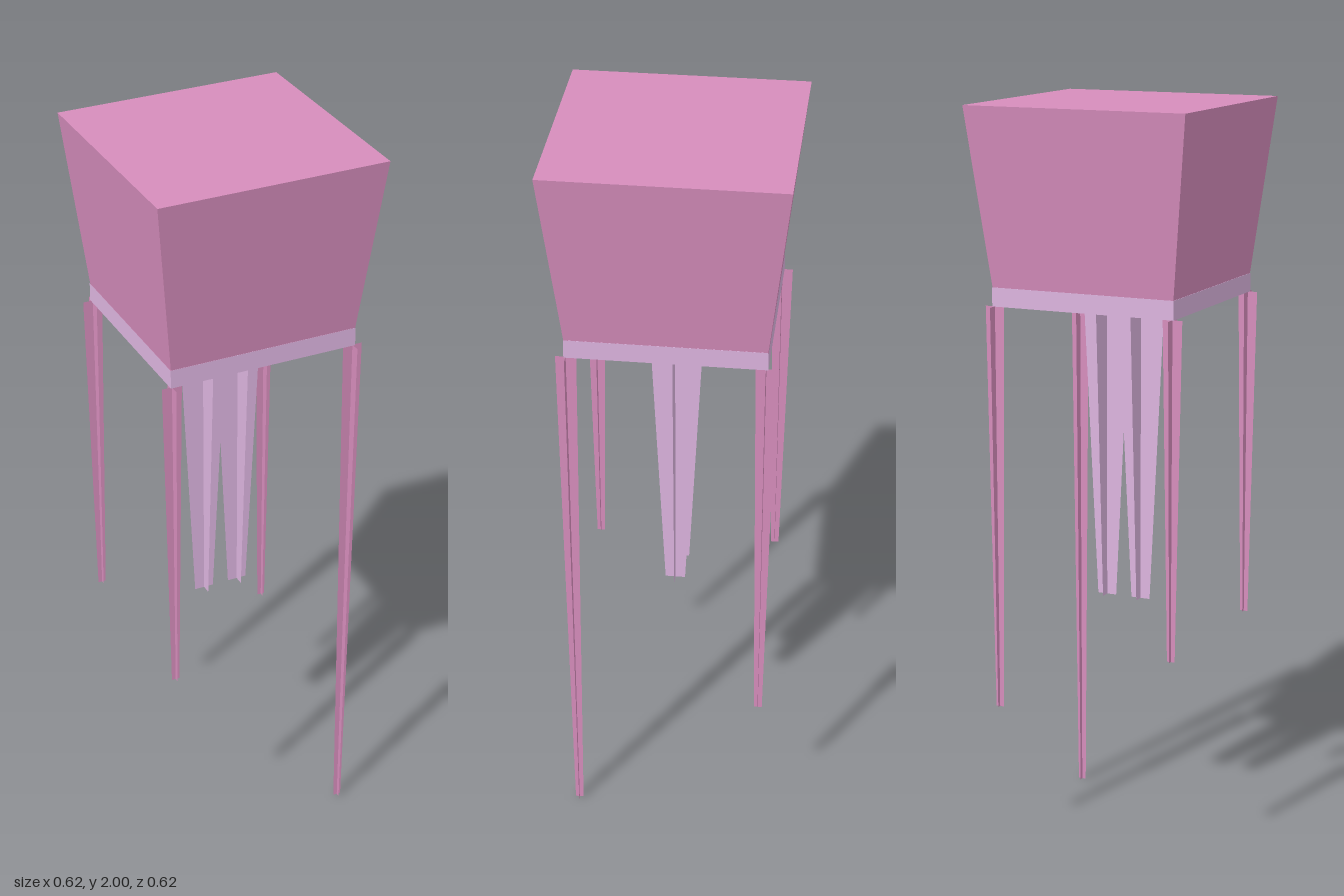
import * as THREE from 'three';

const pink = new THREE.MeshStandardMaterial({ color: 0xd68dbc, flatShading: true });
const lilac = new THREE.MeshStandardMaterial({ color: 0xdcb4df, flatShading: true });
const pinkThin = pink.clone();
const lilacThin = lilac.clone();
pinkThin.side = lilacThin.side = THREE.DoubleSide;

// Square section running from y0 (half width h0) up to y1 (half width h1)
function squareTube(h0, y0, h1, y1, open) {
  const r = Math.SQRT2;
  return new THREE.CylinderGeometry(h1 * r, h0 * r, y1 - y0, 4, 1, open)
    .rotateY(Math.PI / 4)
    .translate(0, (y0 + y1) / 2, 0);
}

// Tapered strand made of two crossed flat blades
function strand(name, x, z, bottom, halfTop, halfBottom, material) {
  const top = 1.48;
  const shape = new THREE.Shape([
    new THREE.Vector2(-halfBottom, bottom),
    new THREE.Vector2(halfBottom, bottom),
    new THREE.Vector2(halfTop, top),
    new THREE.Vector2(-halfTop, top),
  ]);
  const group = new THREE.Group();
  group.name = name;
  for (const turn of [0, Math.PI / 2]) {
    const blade = new THREE.Mesh(new THREE.ShapeGeometry(shape), material);
    blade.name = 'blade';
    blade.rotation.y = turn;
    group.add(blade);
  }
  group.position.set(x, 0, z);
  return group;
}

export function createModel() {
  const model = new THREE.Group();
  model.name = 'floatingCreature';
  const add = (name, geometry, material) => {
    const mesh = new THREE.Mesh(geometry, material);
    mesh.name = name;
    model.add(mesh);
  };

  // Flared bell with a flat top and underside
  add('bell', squareTube(0.256, 1.53, 0.308, 2, false), pink);

  // Rim band below the bell, with its inner wall and a thin lip under the bell
  add('rimBand', squareTube(0.257, 1.48, 0.257, 1.53, true), lilac);
  add('rimInnerWall', squareTube(0.255, 1.48, 0.255, 1.529, true), pinkThin);
  const lip = new THREE.RingGeometry(0.235 * Math.SQRT2, 0.255 * Math.SQRT2, 4, 1, Math.PI / 4)
    .rotateX(Math.PI / 2)
    .translate(0, 1.527, 0);
  add('rimLip', lip, lilacThin);

  // Corner tentacles of unequal length: x side, z side, bottom height
  for (const [sx, sz, bottom] of [[1, 1, 0], [1, -1, 0.385], [-1, 1, 0.58], [-1, -1, 0.58]]) {
    model.add(strand('cornerTentacle', sx * 0.252, sz * 0.252, bottom, 0.027, 0.011, pinkThin));
  }

  // Pair of broad central arms
  for (const side of [-1, 1]) {
    model.add(strand('centralArm', side * 0.05, 0, 0.66, 0.068, 0.027, lilacThin));
  }
  return model;
}
